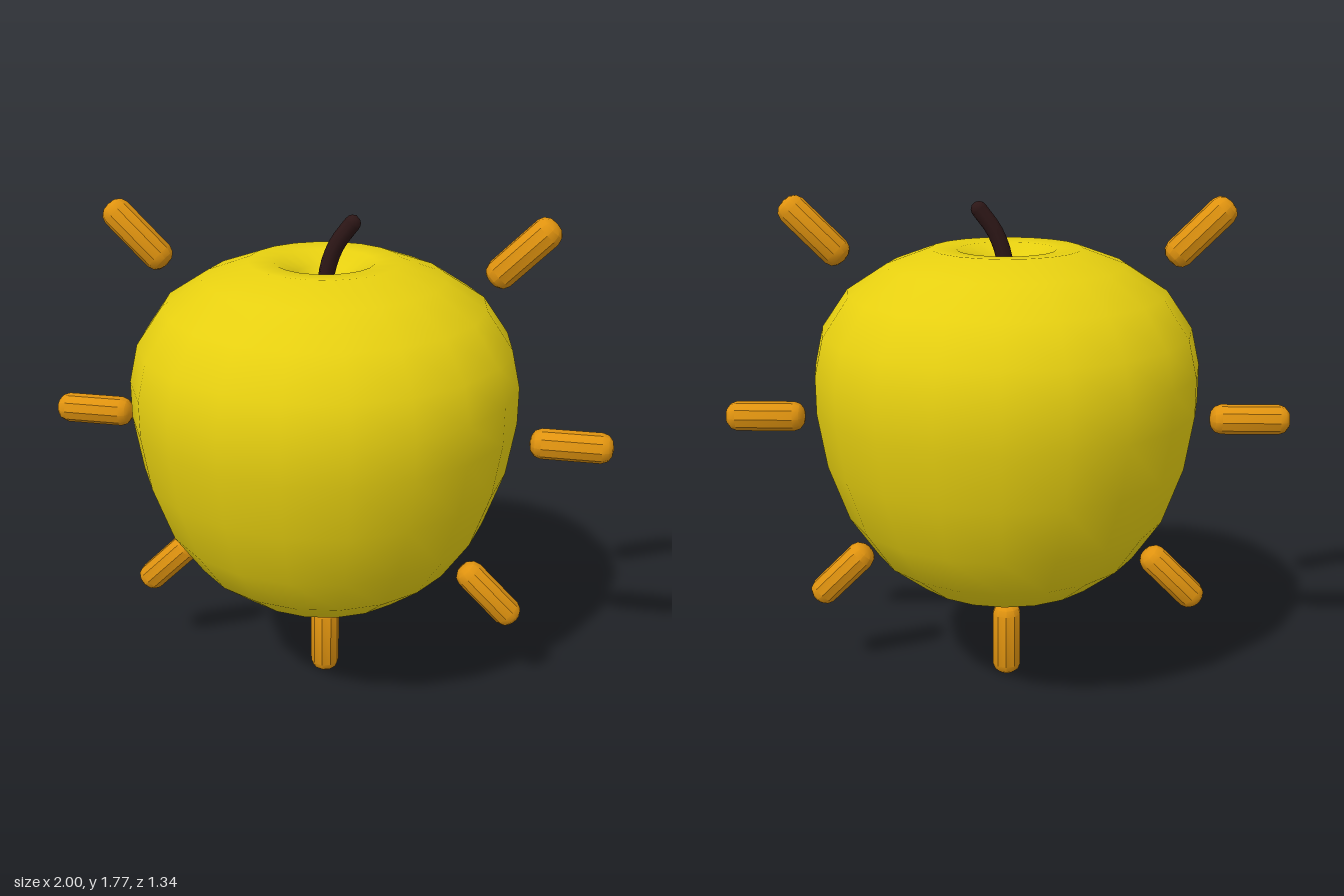
import * as THREE from 'three';
import { toCreasedNormals } from 'three/addons/utils/BufferGeometryUtils.js';

const material = (color) => new THREE.MeshStandardMaterial({ color });
const profile = (pairs) => pairs.map(([r, y]) => new THREE.Vector2(r, y));

function part(name, geometry, mat) {
  const mesh = new THREE.Mesh(geometry, mat);
  mesh.name = name;
  return mesh;
}

export function createModel() {
  const model = new THREE.Group();
  model.name = 'radiantApple';

  // Fruit body, with a dimple on top
  const body = new THREE.LatheGeometry(profile([
    [0, 0.37], [0.1, 0.362], [0.22, 0.375], [0.34, 0.425], [0.47, 0.53],
    [0.57, 0.68], [0.64, 0.88], [0.67, 1.07], [0.67, 1.2], [0.64, 1.33],
    [0.55, 1.46], [0.41, 1.55], [0.26, 1.605], [0.17, 1.6], [0.1, 1.56],
    [0.05, 1.49], [0, 1.45],
  ]), 20);
  model.add(part('fruit', body, material(0xe6cf10)));

  // Bent stem with a rounded tip
  const dark = material(0x2c1616);
  const path = new THREE.CatmullRomCurve3([
    [0, 1.44, 0], [0.008, 1.57, 0], [0.04, 1.66, 0], [0.093, 1.733, 0],
  ].map((p) => new THREE.Vector3(...p)));
  model.add(part('stem', new THREE.TubeGeometry(path, 10, 0.028, 8), dark));
  const tip = part('stemTip', new THREE.SphereGeometry(0.028, 8, 6), dark);
  tip.position.set(0.093, 1.733, 0);
  model.add(tip);

  // Faceted rods with domed ends, radiating around the fruit
  const half = 0.142;
  const end = [[0, half], [0.028, half - 0.005], [0.045, half - 0.018], [0.053, half - 0.04]];
  const rodProfile = [...end.map(([r, y]) => [r, -y]), ...end.slice().reverse()];
  const rod = toCreasedNormals(new THREE.LatheGeometry(profile(rodProfile), 10), 0.6);
  const orange = material(0xe0930f);
  const addRod = (name, x, y, angle) => {
    const mesh = part(name, rod, orange);
    mesh.position.set(x, y, 0);
    mesh.rotation.z = angle;
    model.add(mesh);
  };
  for (const [side, s] of [['left', 1], ['right', -1]]) {
    addRod(side + 'UpperRay', s * 0.655, 1.66, -s * Math.PI / 4);
    addRod(side + 'MiddleRay', s * 0.858, 1.003, -s * Math.PI / 2);
    addRod(side + 'LowerRay', s * 0.607, 0.4, -s * Math.PI * 0.75);
  }
  addRod('bottomRay', 0, 0.146, 0);

  return model;
}
